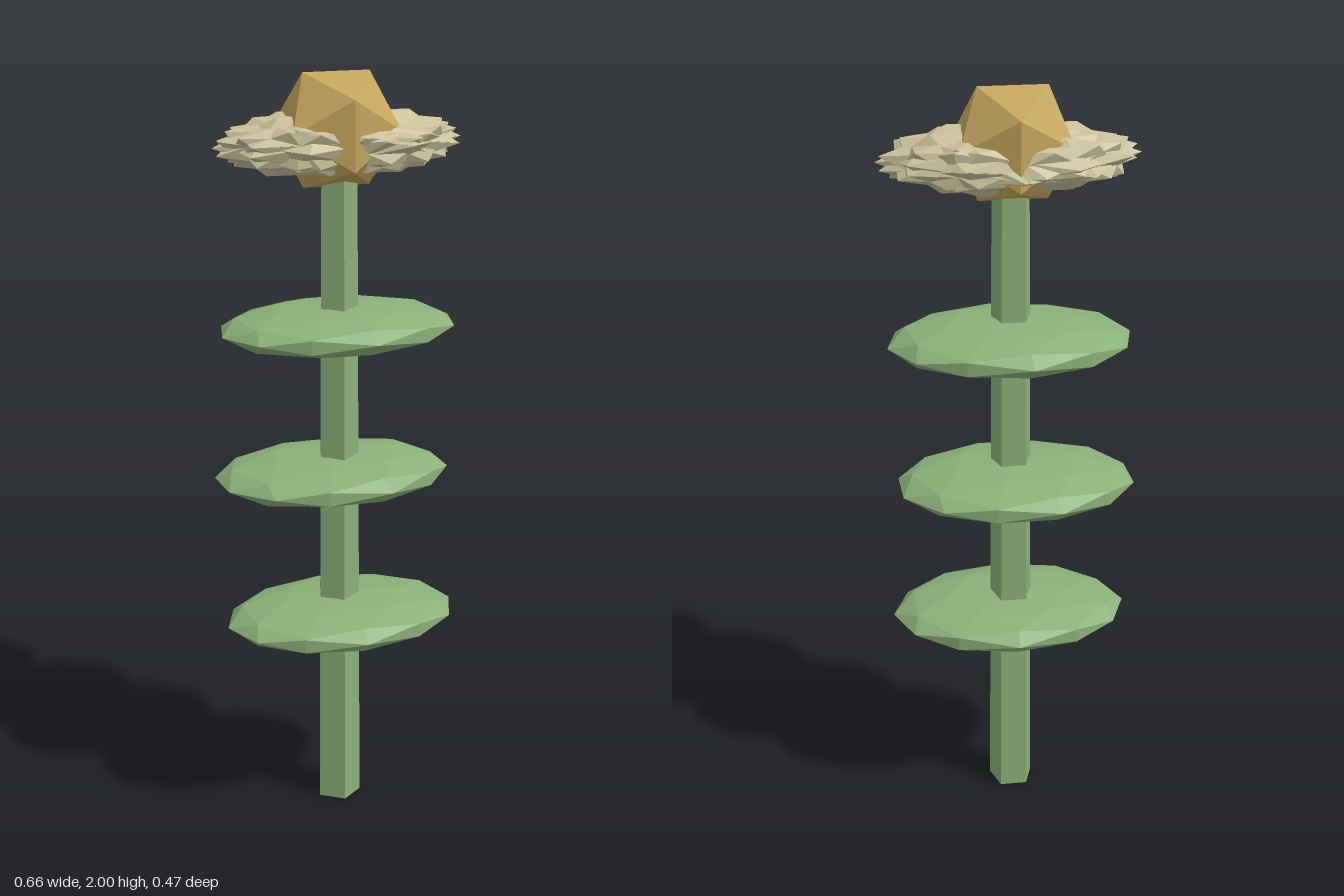
import * as THREE from 'three';

const CX = -0.008, CZ = 0.005; // stem axis

function material(color) {
  return new THREE.MeshStandardMaterial({ color, flatShading: true });
}

export function createModel() {
  const group = new THREE.Group();
  const green = material(0x8ab078);
  const cream = material(0xc9c09a);
  const gold = material(0xc4a55c);

  function add(parent, name, geometry, mat, x, y, z) {
    const mesh = new THREE.Mesh(geometry, mat);
    mesh.name = name;
    mesh.position.set(x, y, z);
    parent.add(mesh);
    return mesh;
  }

  // Five-sided tapering stem
  add(group, 'stem', new THREE.CylinderGeometry(0.05, 0.062, 1.8, 5), green, CX, 0.9, CZ);

  // Flat faceted leaves, each turned before flattening: [x, y, z, turn]
  const leaves = [
    [-0.003, 0.55, 0.017, 0],
    [-0.018, 0.95, -0.01, 0.3],
    [-0.003, 1.35, -0.007, 0.1],
  ];
  for (const [x, y, z, turn] of leaves) {
    const leaf = new THREE.IcosahedronGeometry(1, 1);
    leaf.rotateY(turn).scale(0.318, 0.06, 0.222);
    add(group, 'leaf', leaf, green, x, y, z);
  }

  // Spiky petals: turned icosahedra, all squashed to one long flower head
  const petals = new THREE.Group();
  petals.name = 'petals';
  group.add(petals);
  for (let i = 0; i < 14; i++) {
    const petal = new THREE.IcosahedronGeometry(1, 0);
    petal.rotateZ(0.55 + i * 0.45).rotateX(i * 0.9).scale(0.33, 0.09, 0.155);
    add(petals, 'petal', petal, cream, -0.002, 1.825, 0);
  }

  // Faceted flower centre
  add(group, 'flowerCentre', new THREE.IcosahedronGeometry(0.167, 0), gold, -0.011, 1.858, 0.004);

  return group;
}
